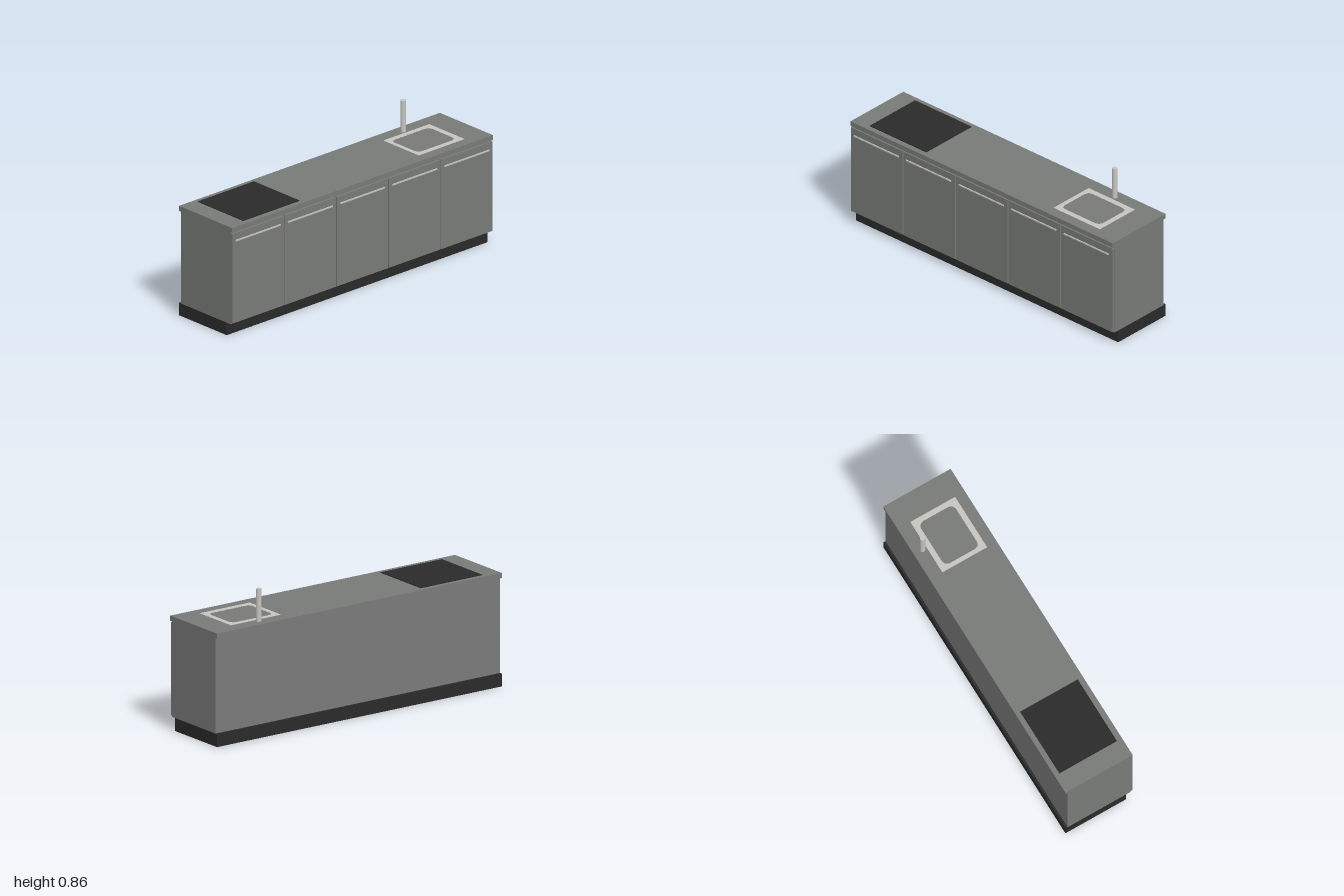
import * as THREE from 'three';

export function createModel() {
  const group = new THREE.Group();
  const grey = new THREE.MeshStandardMaterial({ name: 'cabinetGrey', color: 0x797b79 });
  const black = new THREE.MeshStandardMaterial({ name: 'black', color: 0x2a2a2a });
  const steel = new THREE.MeshStandardMaterial({ name: 'steel', color: 0xc8c5c0 });

  const add = (name, geometry, material) => {
    const mesh = new THREE.Mesh(geometry, material);
    mesh.name = name;
    group.add(mesh);
    return mesh;
  };
  // Box given by its minimum and maximum on each axis
  const box = (name, material, x0, x1, y0, y1, z0, z1) =>
    add(name, new THREE.BoxGeometry(x1 - x0, y1 - y0, z1 - z0), material)
      .position.set((x0 + x1) / 2, (y0 + y1) / 2, (z0 + z1) / 2);

  // Rectangle with cut corners in plan
  const outline = (Type, x0, x1, z0, z1, c) => {
    const points = c === 0
      ? [[x0, z0], [x1, z0], [x1, z1], [x0, z1]]
      : [[x0 + c, z0], [x1 - c, z0], [x1 - c * 0.3, z0 + c * 0.3], [x1, z0 + c],
        [x1, z1 - c], [x1 - c * 0.3, z1 - c * 0.3], [x1 - c, z1], [x0 + c, z1],
        [x0 + c * 0.3, z1 - c * 0.3], [x0, z1 - c], [x0, z0 + c], [x0 + c * 0.3, z0 + c * 0.3]];
    return new Type(points.map(([x, z]) => new THREE.Vector2(x, -z)));
  };
  // Horizontal slab between two heights, with one hole
  const slab = (shape, hole, y0, y1) => {
    shape.holes.push(hole);
    return new THREE.ExtrudeGeometry(shape, { depth: y1 - y0, bevelEnabled: false })
      .rotateX(-Math.PI / 2).translate(0, y0, 0);
  };

  // Cabinet body on a set-back plinth
  box('plinth', black, -1, 1, 0, 0.076, -0.222, 0.175);
  box('carcass', grey, -0.999, 0.999, 0.076, 0.638, -0.207, 0.205);

  // Five doors with slim bar handles
  for (let i = 0; i < 5; i++) {
    const x = -0.8 + i * 0.4;
    box('door', grey, x - 0.197, x + 0.197, 0.083, 0.63, 0.205, 0.219);
    box('handle', steel, x - 0.173, x + 0.169, 0.58, 0.588, 0.219, 0.2245);
  }

  // Worktop with the sink opening
  add('worktop', slab(
    outline(THREE.Shape, -1, 1, -0.222, 0.22, 0),
    outline(THREE.Path, 0.513, 0.813, -0.11, 0.126, 0.03), 0.638, 0.668), grey);

  // Sink rim and short basin wall
  add('sinkRim', slab(
    outline(THREE.Shape, 0.49, 0.842, -0.139, 0.155, 0),
    outline(THREE.Path, 0.516, 0.81, -0.107, 0.123, 0.03), 0.6675, 0.6695), steel);
  add('sinkWall', slab(
    outline(THREE.Shape, 0.513, 0.813, -0.11, 0.126, 0.03),
    outline(THREE.Path, 0.516, 0.81, -0.107, 0.123, 0.03), 0.639, 0.6675), steel);

  // Tap and hob
  add('tap', new THREE.CylinderGeometry(0.016, 0.016, 0.192, 16), steel)
    .position.set(0.665, 0.764, -0.164);
  box('hob', black, -0.883, -0.453, 0.667, 0.672, -0.192, 0.186);

  return group;
}
